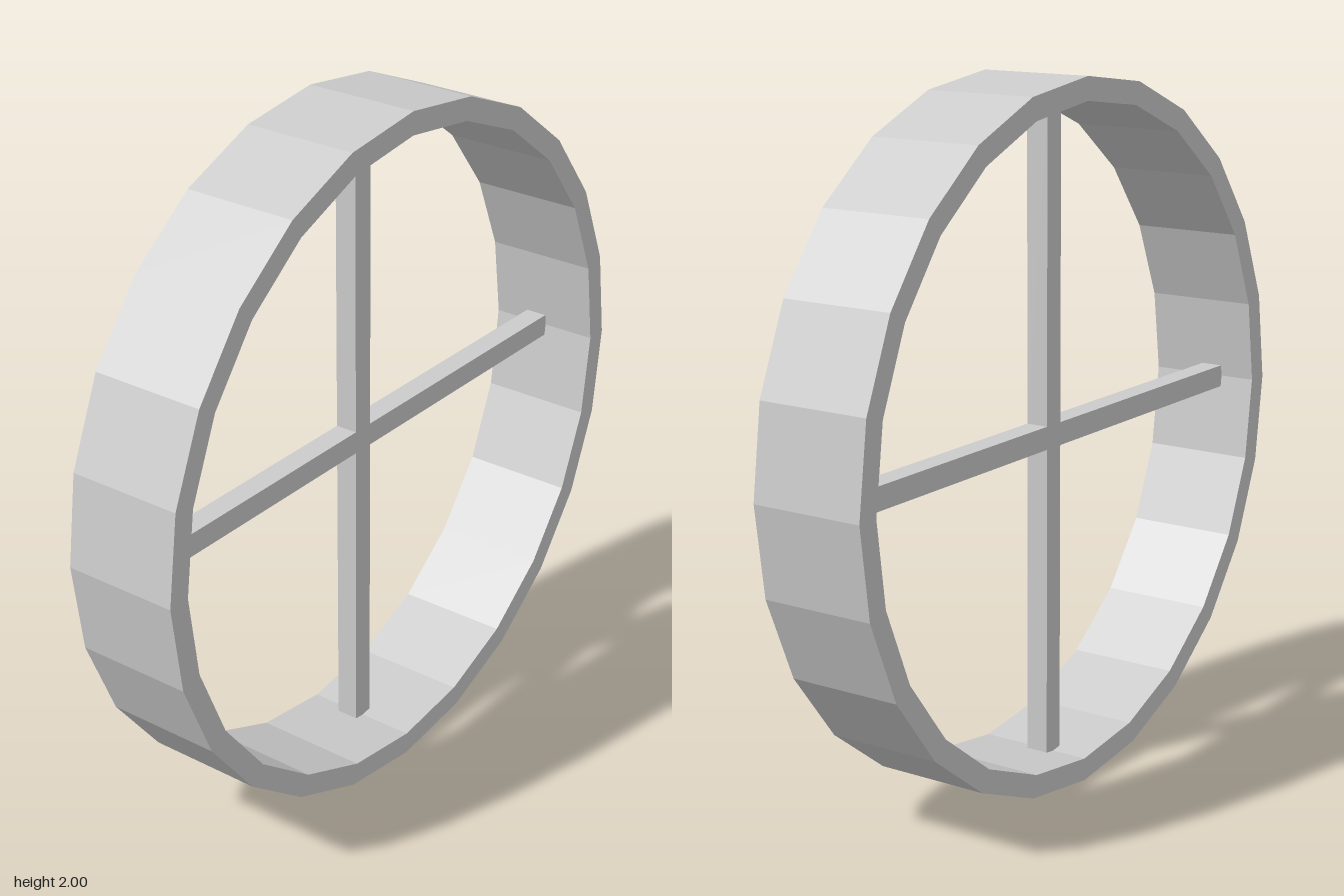
import * as THREE from 'three';

const SIDES = 24, OUTER = 1, INNER = 0.934, WIDTH = 0.336, BAR = 0.066, BAR_X = -0.027;

// Regular counter-clockwise polygon with a corner at the top
function polygon(radius) {
  const points = [];
  for (let i = 0; i < SIDES; i++) {
    const a = (i / SIDES) * Math.PI * 2;
    points.push(new THREE.Vector2(-Math.sin(a) * radius, Math.cos(a) * radius));
  }
  return points;
}

export function createModel() {
  const group = new THREE.Group();
  const material = new THREE.MeshStandardMaterial({ color: 0xcccccc, flatShading: true });

  // Faceted rim, extruded along the axle direction
  const shape = new THREE.Shape(polygon(OUTER));
  shape.holes.push(new THREE.Path(polygon(INNER)));
  const rimGeometry = new THREE.ExtrudeGeometry(shape, { depth: WIDTH, bevelEnabled: false });
  rimGeometry.translate(0, 0, -WIDTH / 2).rotateY(Math.PI / 2);
  const rim = new THREE.Mesh(rimGeometry, material);
  rim.name = 'rim';
  rim.position.y = 1;
  group.add(rim);

  // Four square spokes meeting in a cross, set slightly off the middle of the rim
  const spokes = new THREE.Group();
  spokes.name = 'spokes';
  spokes.position.set(BAR_X, 1, 0);
  const start = BAR / 2, end = INNER + 0.004;
  for (let i = 0; i < 4; i++) {
    const from = i % 2 ? start : 0; // the vertical pair fills the crossing
    const geometry = new THREE.BoxGeometry(BAR, end - from, BAR);
    geometry.translate(0, (end + from) / 2, 0);
    const spoke = new THREE.Mesh(geometry, material);
    spoke.name = 'spoke' + (i + 1);
    spoke.rotation.x = (i * Math.PI) / 2;
    spokes.add(spoke);
  }
  group.add(spokes);

  return group;
}
